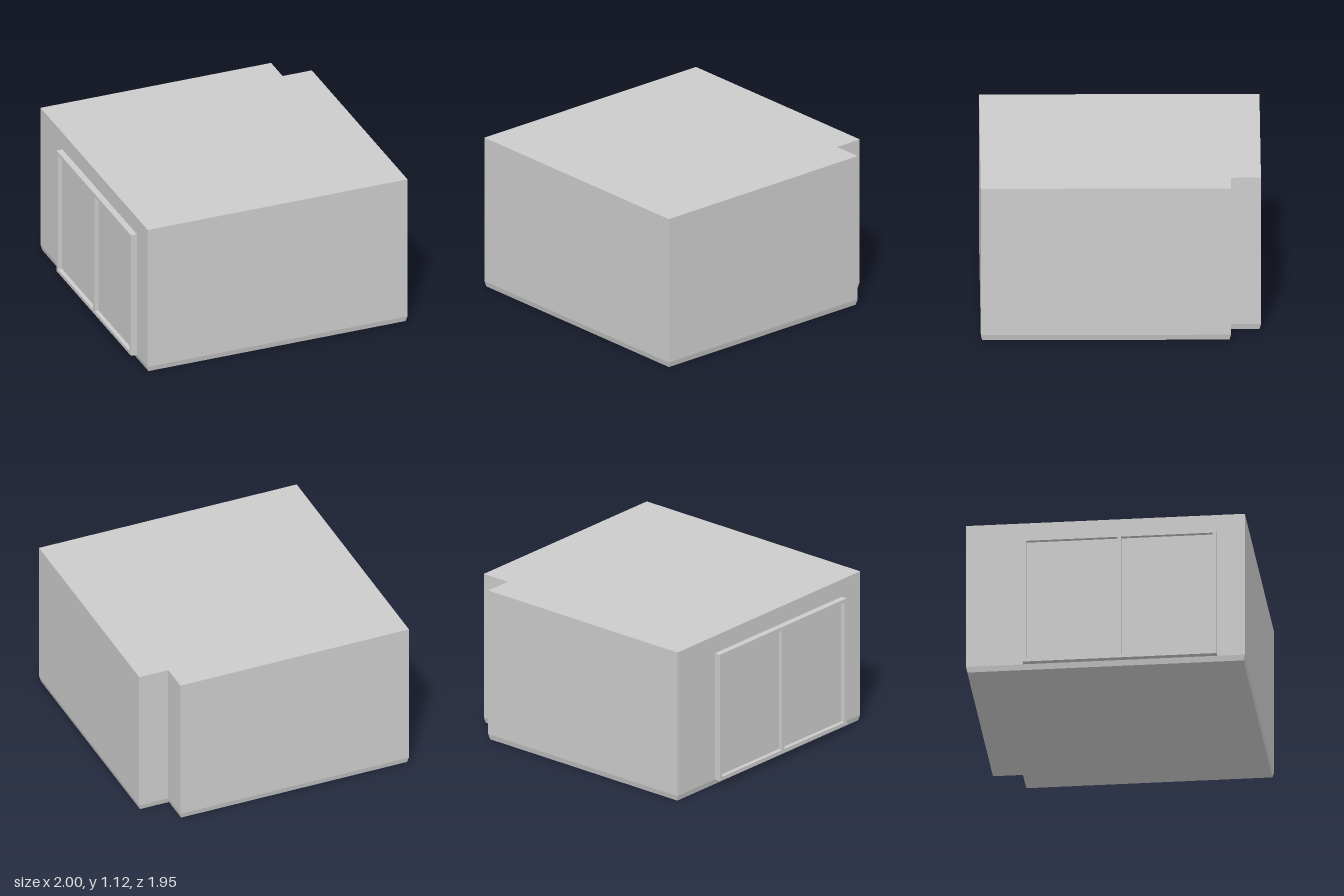
import * as THREE from 'three';

const material = new THREE.MeshStandardMaterial({ color: 0xcccccc, flatShading: true });

function add(group, name, geometry) {
  const mesh = new THREE.Mesh(geometry, material);
  mesh.name = name;
  group.add(mesh);
  return mesh;
}

function rectangle(path, x0, y0, x1, y1) {
  return path.moveTo(x0, y0).lineTo(x1, y0).lineTo(x1, y1).lineTo(x0, y1).closePath();
}

export function createModel() {
  const model = new THREE.Group();
  model.name = 'building';

  // Body: notched plan (x, -z) in two levels; the lower one tapers in at the foot
  const plan = new THREE.Shape([
    [-0.955, -0.975], [1, -0.975], [1, 0.765], [0.78, 0.765], [0.78, 0.975], [-0.955, 0.975],
  ].map(([x, y]) => new THREE.Vector2(x, y)));
  const body = new THREE.ExtrudeGeometry(plan, { depth: 2, steps: 2, bevelEnabled: false });
  body.rotateX(-Math.PI / 2);
  const levels = [0, 0.04, 1.12], taper = 0.01;
  const p = body.attributes.position;
  for (let i = 0; i < p.count; i++) {
    const level = Math.round(p.getY(i));
    if (level === 0) {
      p.setX(i, p.getX(i) - Math.sign(p.getX(i)) * taper);
      p.setZ(i, p.getZ(i) - Math.sign(p.getZ(i)) * taper);
    }
    p.setY(i, levels[level]);
  }
  body.computeVertexNormals();
  add(model, 'body', body);

  // Window on the -x wall: frame with two openings and a centre bar
  const wall = -0.955, bar = 0.025;
  const z0 = -0.575, z1 = 0.78, y0 = 0.04, y1 = 0.99, middle = (z0 + z1) / 2;
  const openings = [[z0 + bar, middle - bar / 2], [middle + bar / 2, z1 - bar]];
  const frame = rectangle(new THREE.Shape(), z0, y0, z1, y1);
  for (const [a, b] of openings) {
    frame.holes.push(rectangle(new THREE.Path(), a, y0 + bar, b, y1 - bar));
  }
  const frameGeometry = new THREE.ExtrudeGeometry(frame, { depth: 0.045, bevelEnabled: false });
  frameGeometry.rotateY(-Math.PI / 2);
  add(model, 'windowFrame', frameGeometry).position.x = wall;

  // Recessed panes
  for (const [a, b] of openings) {
    add(model, 'windowPane', new THREE.BoxGeometry(0.015, y1 - y0 - 2 * bar, b - a))
      .position.set(wall - 0.0075, (y0 + y1) / 2, (a + b) / 2);
  }

  return model;
}
